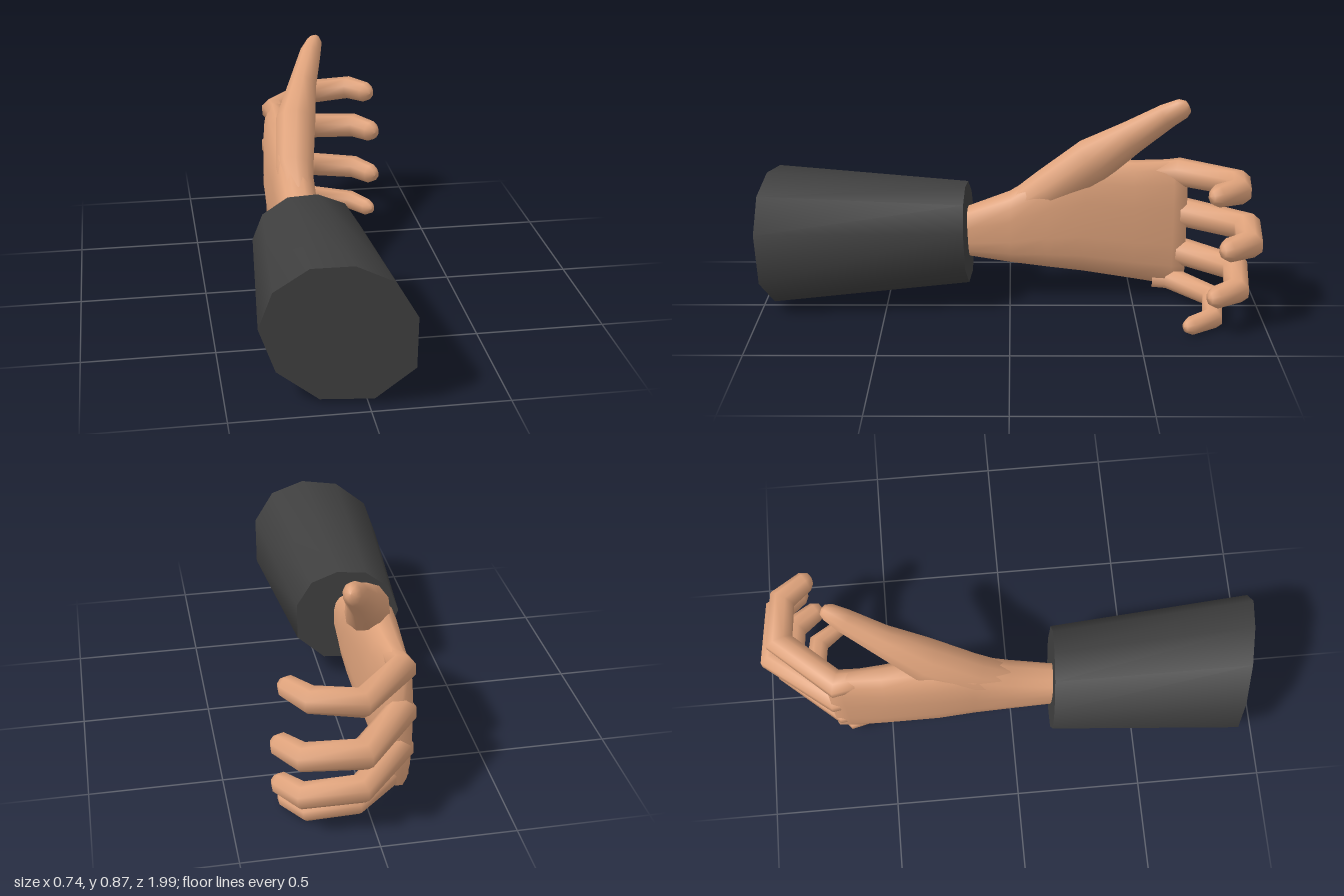
import * as THREE from 'three';

const V = (x, y, z) => new THREE.Vector3(x, y, z);

// Joins closed rings of points with a smooth skin
function skinRings(rings) {
  const n = rings[0].length, index = [];
  for (let i = 0; i < rings.length - 1; i++) {
    for (let j = 0; j < n; j++) {
      const a = i * n + j, b = i * n + (j + 1) % n;
      index.push(a, b, a + n, b, b + n, a + n);
    }
  }
  const geo = new THREE.BufferGeometry().setFromPoints(rings.flat());
  geo.setIndex(index);
  geo.computeVertexNormals();
  return geo;
}

// Rings along a path of [x, y, z, radius along ref, radius across]
function loft(path, ref, sides, power = 1, fixedDir = null) {
  const pts = path.map(p => V(p[0], p[1], p[2]));
  const rings = path.map((p, i) => {
    const before = pts[i].clone().sub(pts[Math.max(i - 1, 0)]).normalize();
    const after = pts[Math.min(i + 1, pts.length - 1)].clone().sub(pts[i]).normalize();
    const T = fixedDir ? fixedDir.clone() : before.clone().add(after).normalize();
    // widen the ring at bends so that the thickness stays even
    const miter = fixedDir || before.length() === 0 ? 1 : 1 / Math.max(0.6, T.dot(before));
    const S = ref.clone().cross(T).normalize();
    const U = T.clone().cross(S);
    return Array.from({ length: sides }, (_, j) => {
      const t = (j + 0.5) / sides * Math.PI * 2;
      const round = v => Math.sign(v) * Math.abs(v) ** power;
      return pts[i].clone()
        .addScaledVector(S, round(Math.cos(t)) * p[4] * miter)
        .addScaledVector(U, round(Math.sin(t)) * p[3]);
    });
  });
  return skinRings(rings);
}

export function createModel() {
  const skin = new THREE.MeshStandardMaterial({ color: 0xdea27b });
  skin.name = 'skin';
  const cloth = new THREE.MeshStandardMaterial({ color: 0x3f3f3f });
  cloth.name = 'dark cloth';
  const model = new THREE.Group();
  model.name = 'handWithSleeve';
  const add = (name, geo, mat, parent = model) => {
    const mesh = new THREE.Mesh(geo, mat);
    mesh.name = name;
    parent.add(mesh);
  };

  // Sleeve: tapered ten-sided tube with slanted ends
  const outline = [[-0.38, 0.30], [-0.33, 0.445], [-0.205, 0.54], [-0.055, 0.553], [0.08, 0.495],
    [0.16, 0.36], [0.16, 0.16], [0.02, 0.03], [-0.17, 0.022], [-0.32, 0.13]];
  const cuff = outline.map(([x, y]) => V(x, y, 0.945 + 0.19 * (x + 0.11) + 0.06 * (y - 0.29)));
  const wristEnd = outline.map(([x, y]) => {
    const dx = (x + 0.11) * 0.78, dy = (y - 0.29) * 0.735;
    return V(-0.11 + dx, 0.295 + dy, 0.168 + 0.07 * dx + 0.05 * dy);
  });
  const center = ring => ring.map(() => ring.reduce((s, p) => s.add(p), V(0, 0, 0)).divideScalar(ring.length));
  // each ring slides to its own centre to close the end
  const closed = ring => {
    const c = center(ring)[0];
    return ring.map(() => c.clone());
  };
  const sleeve = new THREE.Group();
  sleeve.name = 'sleeve';
  model.add(sleeve);
  const reversed = ring => ring.slice().reverse();
  add('sleeveSide', skinRings([reversed(wristEnd), reversed(cuff)].reverse().map(reversed)), cloth, sleeve);
  add('sleeveFrontEnd', skinRings([closed(cuff), cuff]), cloth, sleeve);
  add('sleeveWristEnd', skinRings([wristEnd, closed(wristEnd)]), cloth, sleeve);

  const hand = new THREE.Group();
  hand.name = 'hand';
  model.add(hand);

  // Palm and wrist
  const up = V(0, 1, 0);
  add('palm', loft([
    [-0.125, 0.285, 0.24, 0.100, 0.074],
    [-0.125, 0.285, 0.17, 0.102, 0.074],
    [-0.12, 0.305, 0.00, 0.148, 0.082],
    [-0.12, 0.342, -0.15, 0.205, 0.088],
    [-0.125, 0.360, -0.30, 0.243, 0.092],
    [-0.128, 0.332, -0.50, 0.250, 0.077],
    [-0.13, 0.320, -0.66, 0.268, 0.058],
    [-0.13, 0.315, -0.715, 0.268, 0.045],
    [-0.13, 0.315, -0.72, 0, 0],
  ], up, 16, 0.75, V(0, 0, -1)), skin, hand);

  // Thumb
  add('thumb', loft([
    [-0.12, 0.36, 0.02, 0.06, 0.06],
    [-0.115, 0.465, -0.15, 0.085, 0.08],
    [-0.085, 0.60, -0.335, 0.095, 0.085],
    [-0.035, 0.71, -0.483, 0.068, 0.06],
    [0.018, 0.81, -0.615, 0.05, 0.046],
    [0.042, 0.842, -0.665, 0.042, 0.034],
    [0.05, 0.852, -0.685, 0.026, 0.02],
    [0.052, 0.855, -0.69, 0, 0],
  ], V(0, 0.86, 0.51), 10), skin, hand);

  // Fingers: [name, base height, tip height, offset in z, tip offset in x, radius]
  const fingers = [
    ['indexFinger', 0.535, 0.567, 0.045, -0.035, 0.052],
    ['middleFinger', 0.365, 0.363, 0, 0, 0.055],
    ['ringFinger', 0.20, 0.17, 0.04, -0.005, 0.052],
    ['littleFinger', 0.08, 0.04, 0.125, -0.035, 0.043],
  ];
  for (const [name, y0, y1, dz, dx, r] of fingers) {
    const y = t => y0 + (y1 - y0) * t;
    add(name, loft([
      [-0.125, y(0), -0.58, r * 0.9, r * 0.8],
      [-0.135, y(0), -0.70 + dz * 0.4, r * 1.1, r],
      [0.052, y(0.3), -0.938 + dz, r, r],
      [0.26 + dx, y(0.9), -0.916 + dz, r * 0.95, r * 0.95],
      [0.325 + dx, y(1), -0.825 + dz, r * 0.85, r * 0.8],
      [0.338 + dx, y(1), -0.802 + dz, r * 0.5, r * 0.45],
      [0.34 + dx, y(1), -0.797 + dz, 0, 0],
    ], up, 8), skin, hand);
  }
  return model;
}
